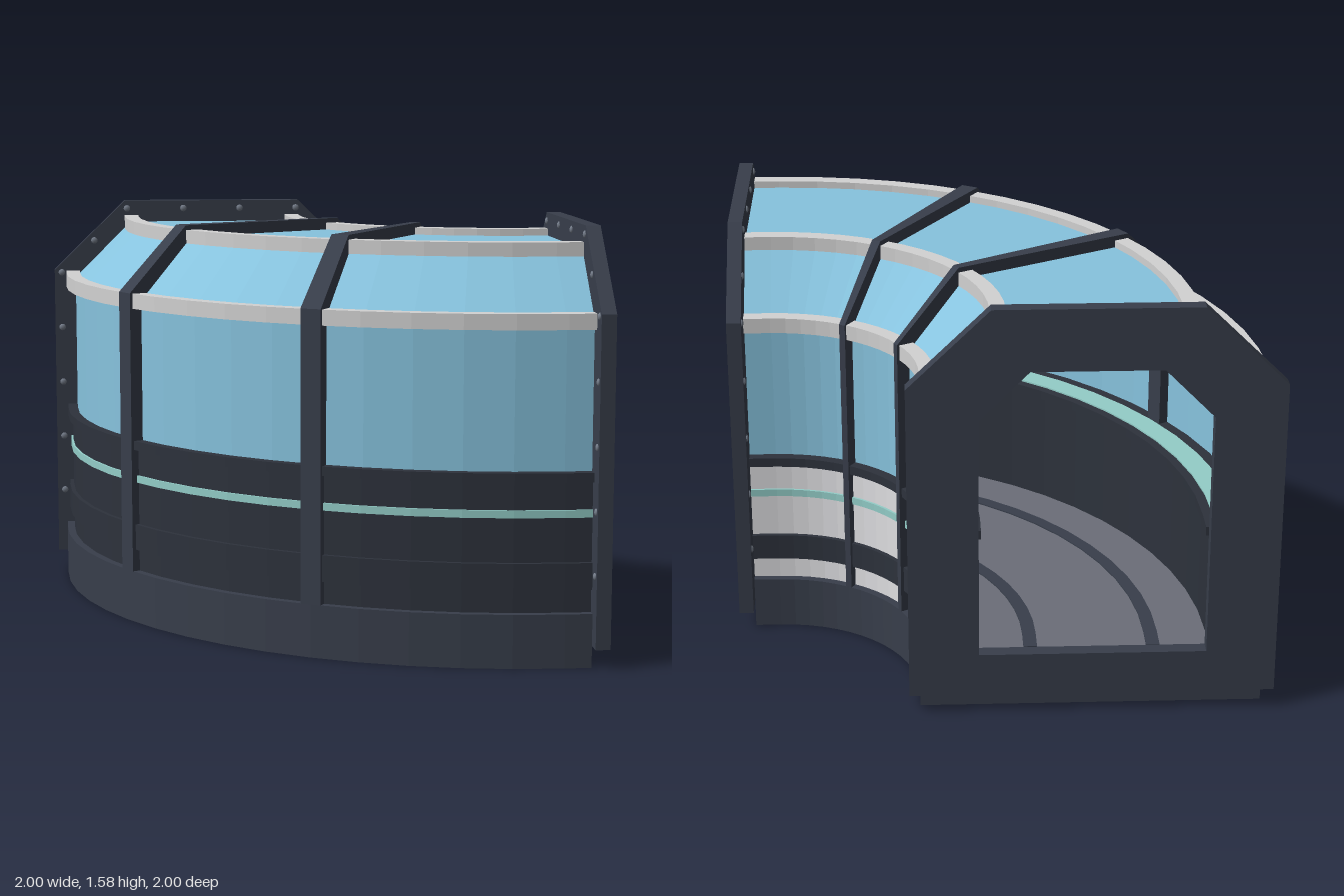
import * as THREE from 'three';

const PIVOT = 0.84;   // bend centre at (PIVOT, -PIVOT)
const MID = 1.17;     // centreline radius of the corridor
const STRAIGHT = 0.1; // straight run at each end of the bend

const mat = (name, color, extra = {}) => {
  const m = new THREE.MeshStandardMaterial({ color, ...extra });
  m.name = name;
  return m;
};

// Stations along the bend: angle plus straight extension at both ends
function bendStations(steps = 15) {
  const list = [{ a: 0, ox: 0, oz: -STRAIGHT }];
  for (let i = 0; i <= steps; i++) list.push({ a: (i / steps) * Math.PI / 2, ox: 0, oz: 0 });
  list.push({ a: Math.PI / 2, ox: STRAIGHT, oz: 0 });
  return list;
}

// Sweep a section of [offset from centreline, height] points along stations
function sweep(profile, stations, closed = true) {
  const pos = [];
  const at = (s, [h, y]) => [
    PIVOT + s.ox - Math.cos(s.a) * (MID + h), y,
    -PIVOT + s.oz + Math.sin(s.a) * (MID + h)];
  const tri = (a, b, c) => pos.push(...a, ...b, ...c);
  const edges = closed ? profile.length : profile.length - 1;
  for (let k = 0; k < stations.length - 1; k++) {
    const s = stations[k], e = stations[k + 1];
    for (let i = 0; i < edges; i++) {
      const p = profile[i], q = profile[(i + 1) % profile.length];
      const A = at(s, p), B = at(s, q), C = at(e, q), D = at(e, p);
      tri(A, D, C);
      tri(A, C, B);
    }
  }
  if (closed) {
    const faces = THREE.ShapeUtils.triangulateShape(profile.map(p => new THREE.Vector2(...p)), []);
    const first = stations[0], last = stations[stations.length - 1];
    for (const [a, b, c] of faces) {
      tri(at(first, profile[a]), at(first, profile[b]), at(first, profile[c]));
      tri(at(last, profile[a]), at(last, profile[c]), at(last, profile[b]));
    }
  }
  const g = new THREE.BufferGeometry();
  g.setAttribute('position', new THREE.Float32BufferAttribute(pos, 3));
  g.computeVertexNormals();
  return g;
}

const rect = (h0, h1, y0, y1) => [[h0, y0], [h1, y0], [h1, y1], [h0, y1]];

export function createModel() {
  const model = new THREE.Group();
  model.name = 'curvedCorridor';

  const frame = mat('frame', 0x383e4b);
  const darkPanel = mat('darkPanel', 0x2d323c);
  const lightPanel = mat('lightPanel', 0xe0e0e3);
  const glass = mat('glass', 0x87c3de, { side: THREE.DoubleSide });
  const trim = mat('trim', 0xd2d2d2);
  const teal = mat('tealStripe', 0x93cdc8);
  const floorGrey = mat('floorGrey', 0x6b6e78);
  const boltGrey = mat('boltGrey', 0x737b88);

  const add = (name, geometry, material, parent = model) => {
    const m = new THREE.Mesh(geometry, material);
    m.name = name;
    parent.add(m);
    return m;
  };
  const bend = bendStations();
  const bar = (name, h0, h1, y0, y1, material) =>
    add(name, sweep(rect(h0, h1, y0, y1), bend), material);
  // Same bar on the outer (+) and inner (-) side of the bend
  const pair = (name, h0, h1, y0, y1, material) => {
    bar(name + 'Outer', h0, h1, y0, y1, material);
    bar(name + 'Inner', -h1, -h0, y0, y1, material);
  };

  // Base and floor
  bar('base', -0.63, 0.63, 0, 0.2, frame);
  bar('floor', -0.59, 0.59, 0.2, 0.235, floorGrey);
  pair('floorStripe', 0.2, 0.25, 0.235, 0.24, frame);

  // Lower walls: dark on the outside of the bend, light on the inside
  bar('outerWall', 0.43, 0.6, 0.2, 0.68, darkPanel);
  bar('innerWall', -0.6, -0.43, 0.2, 0.68, lightPanel);
  pair('lowerBand', 0.59, 0.617, 0.285, 0.385, darkPanel);
  pair('wallStripe', 0.595, 0.609, 0.55, 0.578, teal);
  pair('sill', 0.405, 0.62, 0.68, 0.715, darkPanel);
  pair('sillStripe', 0.44, 0.53, 0.715, 0.721, teal);

  // Glazing shell
  add('glazing', sweep([[0.58, 0.7], [0.58, 1.26], [0.345, 1.495],
    [-0.345, 1.495], [-0.58, 1.26], [-0.58, 0.7]], bend, false), glass);

  // Light rails along the glazing corners
  pair('eaveRail', 0.563, 0.62, 1.23, 1.288, trim);
  pair('roofRail', 0.312, 0.37, 1.467, 1.522, trim);

  // Wedge shaped ribs over the glazing
  const ribSection = [
    [-0.63, 0.2], [-0.54, 0.2], [-0.54, 1.24], [-0.33, 1.45],
    [0.33, 1.45], [0.54, 1.24], [0.54, 0.2], [0.63, 0.2],
    [0.63, 1.29], [0.37, 1.54], [-0.37, 1.54], [-0.63, 1.29]];
  for (const deg of [30, 60]) {
    const a = THREE.MathUtils.degToRad(deg);
    const ends = [-0.0225, 0.0225].map(o => ({ a: a + o, ox: 0, oz: 0 }));
    add('rib', sweep(ribSection, ends), frame);
  }

  // End portals
  const outline = [[-0.67, 0.075], [0.67, 0.075], [0.67, 1.29], [0.37, 1.583], [-0.37, 1.583], [-0.67, 1.29]];
  const opening = [[-0.415, 0.24], [-0.415, 1.17], [-0.235, 1.352], [0.235, 1.352], [0.415, 1.17], [0.415, 0.24]];
  const shape = new THREE.Shape(outline.map(p => new THREE.Vector2(...p)));
  shape.holes.push(new THREE.Path(opening.map(p => new THREE.Vector2(...p))));
  const portalGeo = new THREE.ExtrudeGeometry(shape, { depth: 0.055, bevelEnabled: false });

  // Bolts around the portal rim, on the side facing the corridor
  const boltSpots = [[0.12, 1.55], [0.36, 1.55], [0.5, 1.415]];
  for (let i = 0; i < 5; i++) boltSpots.push([0.64, 0.34 + i * 0.235]);
  const boltGeo = new THREE.SphereGeometry(0.014, 8, 6);

  const portal = (name, boltZ) => {
    const g = new THREE.Group();
    g.name = name;
    add('portalFrame', portalGeo, frame, g);
    for (const [h, y] of boltSpots) {
      for (const side of [-1, 1]) {
        const b = add('bolt', boltGeo, boltGrey, g);
        b.position.set(side * h, y, boltZ);
        b.scale.z = 0.6;
      }
    }
    model.add(g);
    return g;
  };
  portal('backPortal', 0.055).position.set(-0.33, 0, -1);
  const sidePortal = portal('sidePortal', 0);
  sidePortal.rotation.y = Math.PI / 2;
  sidePortal.position.set(0.945, 0, 0.33);

  return model;
}
